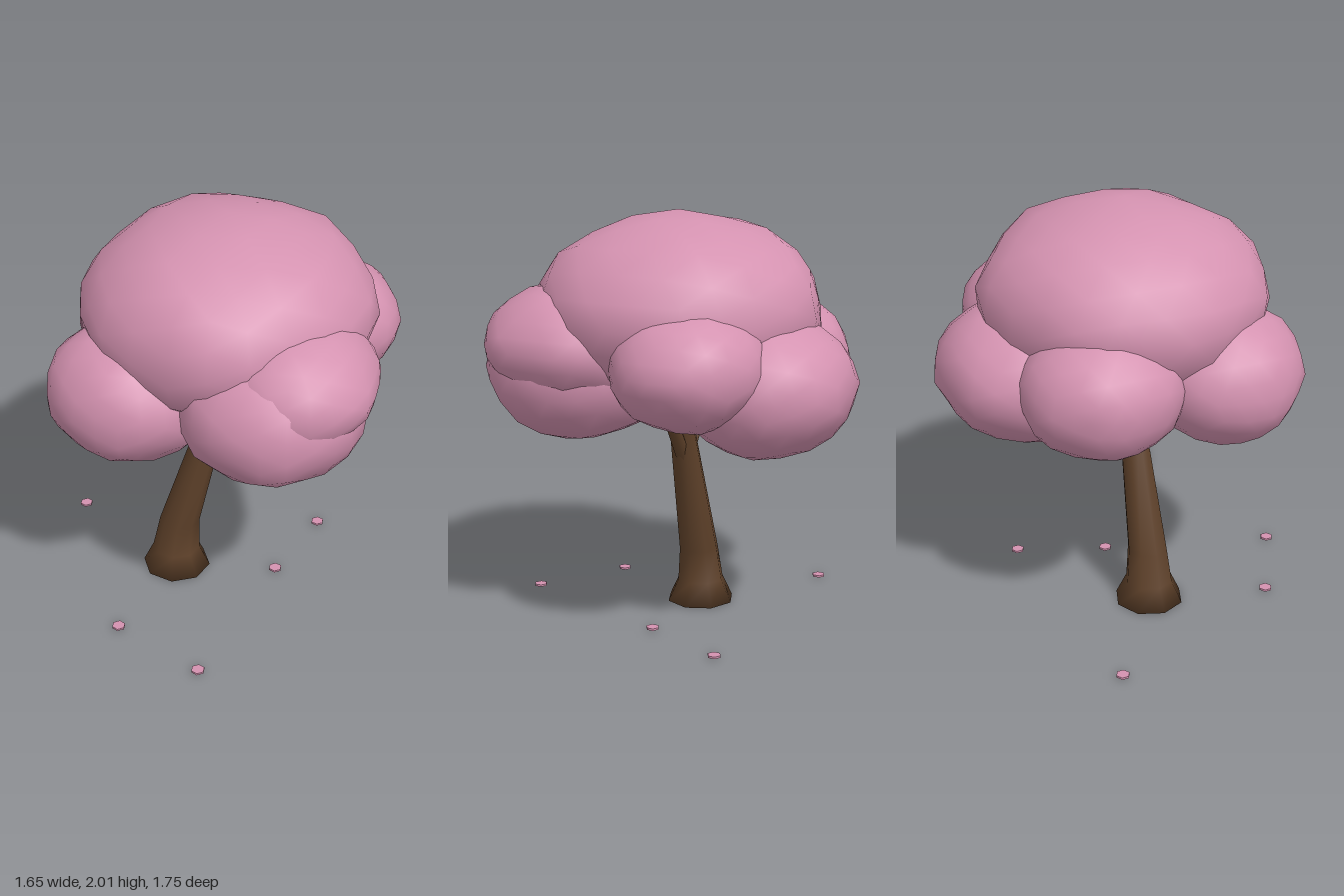
import * as THREE from 'three';
import { mergeVertices } from 'three/addons/utils/BufferGeometryUtils.js';

const blossom = new THREE.MeshStandardMaterial({ color: 0xd492b0 });
blossom.name = 'blossomPink';
const bark = new THREE.MeshStandardMaterial({ color: 0x5d4029 });
bark.name = 'barkBrown';

// Weld all corners so that the normals come out smooth
function weld(geometry) {
  geometry.deleteAttribute('uv');
  geometry.deleteAttribute('normal');
  return mergeVertices(geometry, 1e-3);
}

// Lumpy ellipsoid: icosphere pushed in and out by a few short waves
function puffGeometry(radii, seed) {
  const geometry = weld(new THREE.IcosahedronGeometry(1, 3));
  const pos = geometry.attributes.position;
  const v = new THREE.Vector3();
  for (let i = 0; i < pos.count; i++) {
    v.fromBufferAttribute(pos, i);
    const wave = Math.sin(7.1 * v.x + seed) * Math.sin(6.3 * v.y + 2 * seed)
      + Math.sin(6.7 * v.z + 3 * seed) * Math.cos(5.9 * v.x - seed);
    v.multiplyScalar(1.01 + 0.022 * wave);
    pos.setXYZ(i, v.x * radii[0], v.y * radii[1], v.z * radii[2]);
  }
  geometry.computeVertexNormals();
  return geometry;
}

// Leaning trunk: each row of a cylinder gets its own centre x, height and radius
function trunkGeometry() {
  const rows = [[-0.23, 0, 0.17], [-0.23, 0.11, 0.118], [-0.21, 0.28, 0.1], [-0.03, 0.93, 0.064]];
  const geometry = weld(new THREE.CylinderGeometry(1, 1, 1, 8, rows.length - 1));
  const pos = geometry.attributes.position;
  for (let i = 0; i < pos.count; i++) {
    const [cx, y, r] = rows[Math.round((pos.getY(i) + 0.5) * (rows.length - 1))];
    pos.setXYZ(i, cx + pos.getX(i) * r, y, 0.037 + pos.getZ(i) * r);
  }
  geometry.computeVertexNormals();
  return geometry;
}

// Tapered branch between two points
function branch(from, to, r0, r1) {
  const a = new THREE.Vector3(...from);
  const b = new THREE.Vector3(...to);
  const dir = b.clone().sub(a);
  const mesh = new THREE.Mesh(new THREE.CylinderGeometry(r1, r0, dir.length(), 6), bark);
  mesh.position.copy(a).add(b).multiplyScalar(0.5);
  mesh.quaternion.setFromUnitVectors(new THREE.Vector3(0, 1, 0), dir.normalize());
  return mesh;
}

export function createModel() {
  const model = new THREE.Group();
  model.name = 'blossomTree';
  const add = (mesh, name) => {
    mesh.name = name;
    model.add(mesh);
    return mesh;
  };

  // Trunk and the two forks
  add(new THREE.Mesh(trunkGeometry(), bark), 'trunk');
  add(branch([-0.05, 0.78, 0.037], [0.16, 1.12, 0.037], 0.04, 0.034), 'leftBranch');
  add(branch([-0.07, 0.78, 0.037], [-0.3, 1.07, 0.037], 0.036, 0.03), 'rightBranch');

  // Canopy: name, centre, radii
  const puffs = [
    ['crownTop', [0.03, 1.54, 0.025], [0.68, 0.455, 0.685]],
    ['crownFrontRight', [-0.37, 1.24, 0.33], [0.4, 0.325, 0.38]],
    ['crownFrontLeftLower', [0.28, 1.28, 0.42], [0.44, 0.35, 0.445]],
    ['crownFrontLeftUpper', [0.39, 1.4, 0.4], [0.375, 0.285, 0.42]],
    ['crownLeft', [0.46, 1.36, -0.24], [0.36, 0.285, 0.36]],
    ['crownBack', [0.09, 1.23, -0.46], [0.45, 0.33, 0.415]],
    ['crownBackRight', [-0.36, 1.27, -0.28], [0.385, 0.315, 0.38]],
  ];
  puffs.forEach(([name, centre, radii], i) => {
    add(new THREE.Mesh(puffGeometry(radii, i * 1.7 + 0.4), blossom), name).position.set(...centre);
  });

  // Fallen petals on the ground
  const petal = new THREE.CylinderGeometry(0.033, 0.033, 0.01, 6);
  [[-0.79, -0.38], [-0.43, 0.59], [0, 0.85], [0.28, 0.04], [0.46, -0.38]].forEach(([x, z]) => {
    add(new THREE.Mesh(petal, blossom), 'fallenPetal').position.set(x, 0.012, z);
  });

  return model;
}
